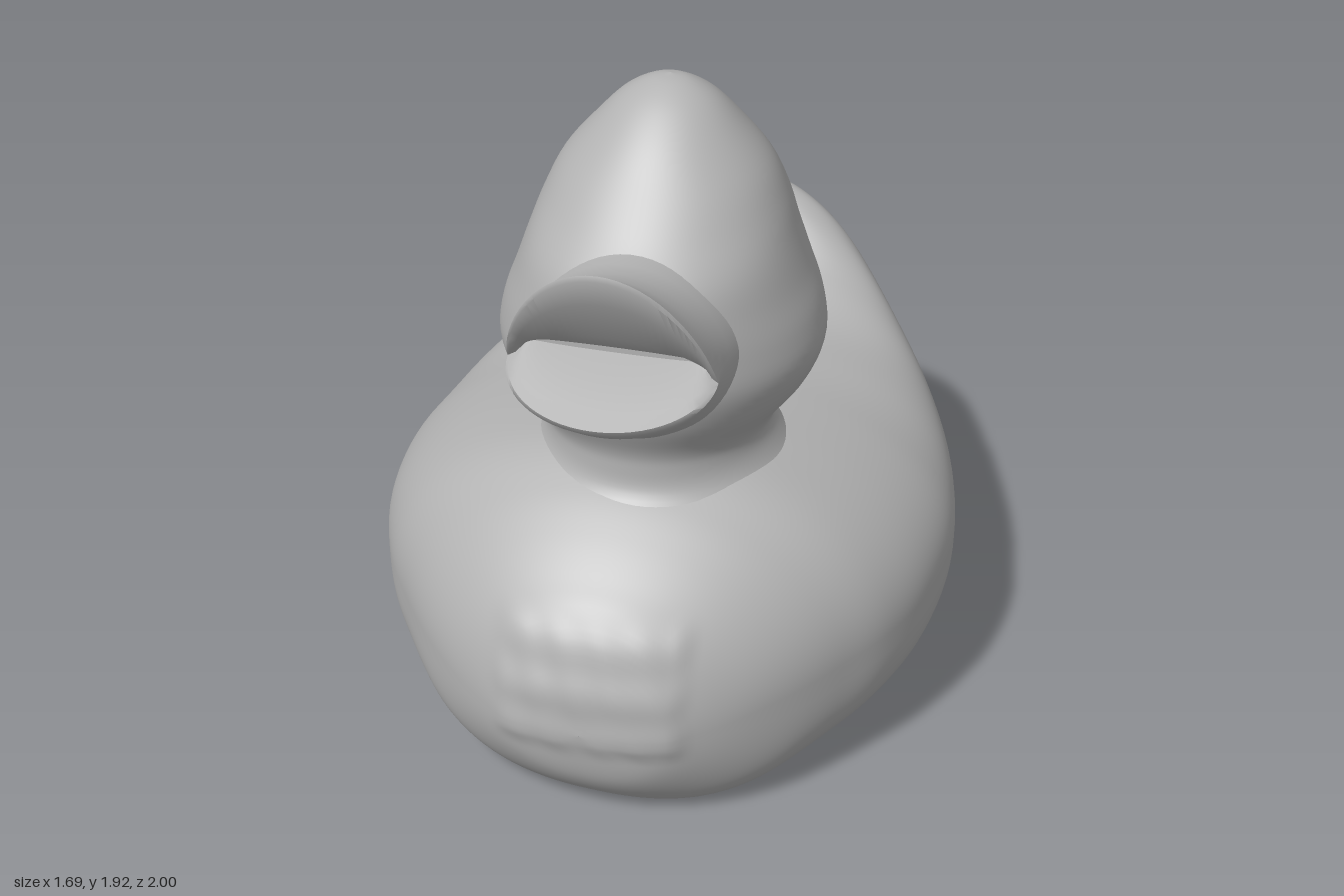
import * as THREE from 'three';
import { toCreasedNormals } from 'three/addons/utils/BufferGeometryUtils.js';

const grey = new THREE.MeshStandardMaterial({ color: 0xb2b2b2 });
grey.name = 'grey rubber';

// Smoothly resample rows of numbers (one cross-section per row)
function resample(rows, count) {
  const columns = rows[0].map((_, c) =>
    new THREE.CatmullRomCurve3(rows.map((r) => new THREE.Vector3(r[c], 0, 0)), false, 'catmullrom', 0.5));
  return Array.from({ length: count + 1 }, (_, i) => columns.map((k) => k.getPoint(i / count).x));
}

// Skin closed loops; point(row, cos, sin) gives a position on one loop
function loft(rows, sides, point) {
  const pos = [], index = [];
  rows.forEach((row, i) => {
    for (let j = 0; j < sides; j++) {
      const a = (j / sides) * Math.PI * 2;
      pos.push(...point(row, Math.cos(a), Math.sin(a)));
      if (i === rows.length - 1) continue;
      const p = i * sides + j, q = i * sides + ((j + 1) % sides);
      index.push(p, q, p + sides, q, q + sides, p + sides);
    }
  });
  const geo = new THREE.BufferGeometry();
  geo.setAttribute('position', new THREE.Float32BufferAttribute(pos, 3));
  geo.setIndex(index);
  geo.computeVertexNormals();
  return geo;
}

const power = (v, e) => Math.sign(v) * Math.abs(v) ** e;
const { smoothstep, lerp } = THREE.MathUtils;

// Worn raised patch on the chest
function chestRelief(x, y, z) {
  if (z < 0.6) return 0;
  const inside = smoothstep(0.29 - Math.abs(x - 0.01), 0, 0.06) * smoothstep(0.21 - Math.abs(y - 0.44), 0, 0.06);
  return inside * (0.009 + 0.0025 * Math.cos((y - 0.44) * 48) + 0.0015 * Math.sin(x * 55 + y * 20));
}

export function createModel() {
  const model = new THREE.Group();
  model.name = 'rubberDuck';
  const add = (name, geo) => {
    const mesh = new THREE.Mesh(geo, grey);
    mesh.name = name;
    model.add(mesh);
    return mesh;
  };

  // Body with upturned tail: z, half width, bottom, widest height, top
  const body = resample([
    [-1.0, 0.001, 0.699, 0.7, 0.701],
    [-0.985, 0.14, 0.54, 0.7, 0.87],
    [-0.95, 0.25, 0.425, 0.67, 1.02],
    [-0.89, 0.36, 0.335, 0.63, 1.14],
    [-0.82, 0.455, 0.298, 0.6, 1.19],
    [-0.74, 0.535, 0.284, 0.57, 1.14],
    [-0.62, 0.64, 0.263, 0.53, 1.0],
    [-0.46, 0.73, 0.235, 0.5, 0.905],
    [-0.25, 0.805, 0.197, 0.47, 0.895],
    [0, 0.845, 0.15, 0.46, 0.905],
    [0.25, 0.82, 0.105, 0.44, 0.92],
    [0.45, 0.745, 0.066, 0.42, 0.92],
    [0.6, 0.645, 0.035, 0.4, 0.865],
    [0.72, 0.55, 0.012, 0.38, 0.79],
    [0.82, 0.45, 0.006, 0.36, 0.71],
    [0.9, 0.345, 0.06, 0.335, 0.635],
    [0.96, 0.235, 0.14, 0.32, 0.51],
    [0.985, 0.12, 0.23, 0.32, 0.41],
    [0.99, 0.001, 0.319, 0.32, 0.321],
  ], 108);
  add('body', loft(body, 120, ([z, w, bottom, mid, top], c, s) => {
    const flat = lerp(0.59, 0.85, smoothstep(Math.abs(z), 0.72, 0.95)); // flat base, rounder ends
    const rim = 1 - 0.14 * smoothstep(0.42 - Math.abs(z + 0.5), 0, 0.38); // fuller shoulders before the tail
    const e = s < 0 ? flat : rim;
    const x = w * power(c, e);
    const lean = s < 0 ? 0.05 * x * s : 0; // base sits slightly lower on one side
    const y = mid + (s < 0 ? mid - bottom : top - mid) * power(s, e) + lean;
    return [x, Math.max(y, 0), z + chestRelief(x, y, z)];
  }));

  // Neck and head: y, half width, front z, back z
  const head = resample([
    [0.8, 0.41, 0.68, -0.17],
    [0.87, 0.352, 0.615, -0.112],
    [0.94, 0.322, 0.603, -0.085],
    [1.0, 0.342, 0.612, -0.12],
    [1.1, 0.418, 0.66, -0.2],
    [1.2, 0.455, 0.69, -0.237],
    [1.3, 0.442, 0.695, -0.25],
    [1.4, 0.405, 0.69, -0.247],
    [1.5, 0.37, 0.655, -0.22],
    [1.6, 0.335, 0.555, -0.172],
    [1.7, 0.285, 0.46, -0.107],
    [1.8, 0.2, 0.365, -0.03],
    [1.87, 0.13, 0.28, 0.04],
    [1.91, 0.06, 0.205, 0.105],
    [1.922, 0.001, 0.151, 0.149],
  ], 72);
  add('head', loft(head, 80, ([y, w, front, back], c, s) =>
    [0.028 + w * c, y, (front + back) / 2 - ((front - back) / 2) * s]));

  // Open bill, from inside the head to the rim and back into the mouth:
  // z at side, z at top, z at bottom, half width, top, bottom, middle height
  const bill = [
    [0.4, 0.4, 0.4, 0.32, 1.6, 1.04, 1.3],
    [0.52, 0.53, 0.54, 0.3, 1.588, 1.05, 1.31],
    [0.61, 0.62, 0.62, 0.286, 1.577, 1.06, 1.32],
    [0.66, 0.69, 0.7, 0.28, 1.585, 1.1, 1.33],
    [0.7, 0.76, 0.78, 0.28, 1.605, 1.15, 1.335],
    [0.73, 0.83, 0.88, 0.283, 1.64, 1.205, 1.34],
    [0.755, 0.88, 0.945, 0.285, 1.675, 1.25, 1.34],
    [0.755, 0.885, 0.955, 0.277, 1.66, 1.268, 1.345],
    [0.75, 0.84, 0.9, 0.265, 1.57, 1.295, 1.35],
    [0.74, 0.79, 0.82, 0.25, 1.45, 1.335, 1.365],
    [0.72, 0.72, 0.72, 0.235, 1.385, 1.37, 1.378],
  ];
  const billGeo = loft(bill, 64, ([zs, zt, zb, w, top, bottom, mid], c, s) => [
    0.035 + w * c,
    mid + (s < 0 ? (mid - bottom) * s : (top - mid) * s ** 1.25),
    zs + ((s < 0 ? zb : zt) - zs) * Math.abs(s),
  ]);
  add('bill', toCreasedNormals(billGeo, 0.9));

  // Back of the mouth, a narrow strip closing the crease
  const throat = add('mouthCrease', new THREE.BoxGeometry(0.46, 0.03, 0.02));
  throat.position.set(0.035, 1.377, 0.71);

  // Raised air-hole lip under the body
  const lip = add('airHoleLip', new THREE.TorusGeometry(0.045, 0.014, 8, 20));
  lip.position.set(0, 0.172, -0.1);
  lip.rotation.x = Math.PI / 2 + 0.18;

  return model;
}
